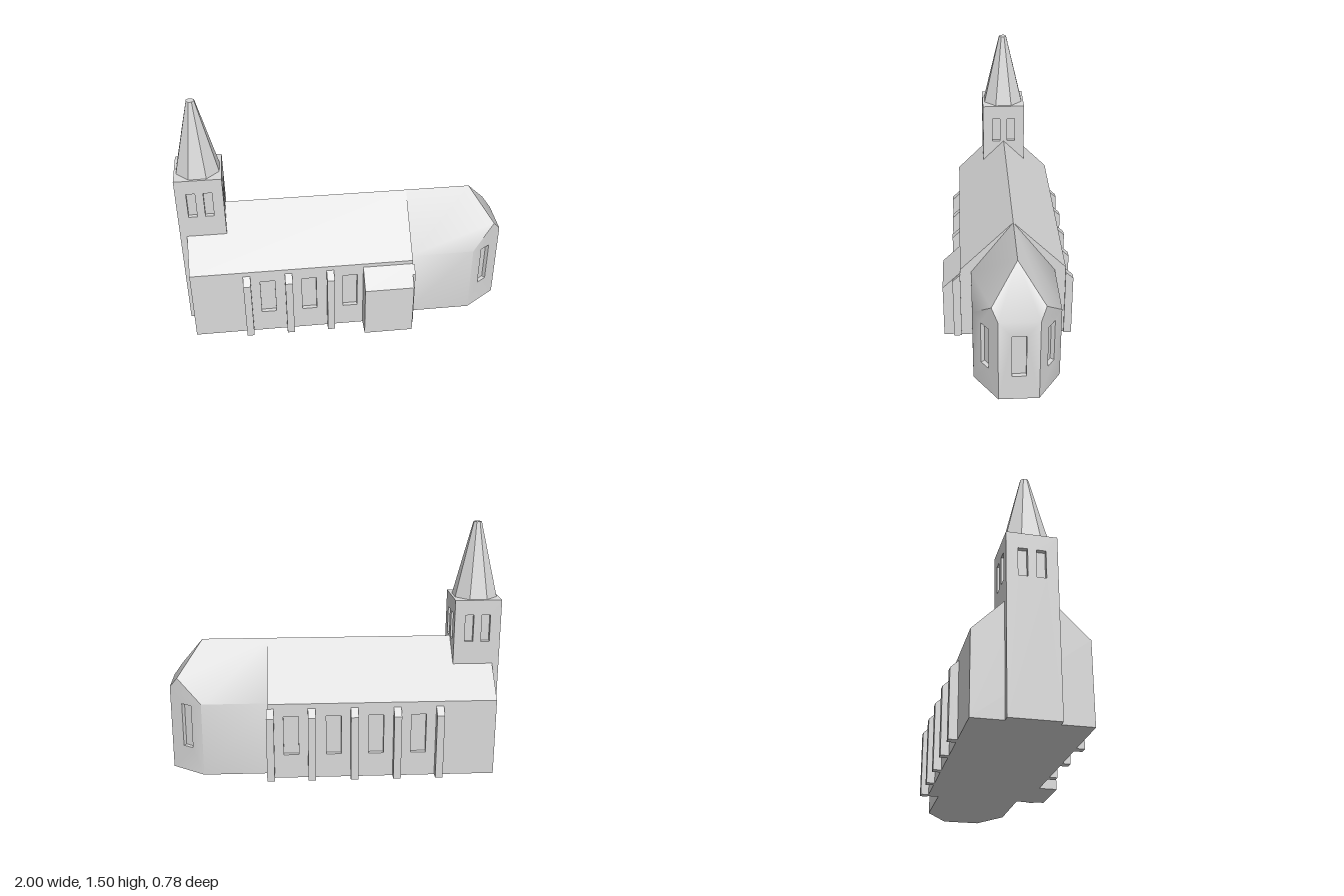
import * as THREE from 'three';
import { mergeGeometries, toCreasedNormals } from 'three/addons/utils/BufferGeometryUtils.js';

const stone = new THREE.MeshStandardMaterial({ color: 0xd9d9d9 });
stone.name = 'pale grey stone';
const RECESS = 0.025;

// Flat convex polygon, corners counter-clockwise from outside
function face(...pts) {
  const out = [];
  for (let i = 1; i < pts.length - 1; i++) out.push(...pts[0], ...pts[i], ...pts[i + 1]);
  const g = new THREE.BufferGeometry();
  g.setAttribute('position', new THREE.Float32BufferAttribute(out, 3));
  return g;
}

// The same polygon and its reflection across z = 0
function facePair(...pts) {
  return [face(...pts), face(...pts.map(([x, y, z]) => [x, y, -z]).reverse())];
}

// Upright wall from a to b ([x, z], outside on the right) with recessed windows [u, width, y0, y1]
function wall(a, b, outline, windows = []) {
  const u = new THREE.Vector3(b[0] - a[0], 0, b[1] - a[1]).normalize();
  const up = new THREE.Vector3(0, 1, 0);
  const m = new THREE.Matrix4().makeBasis(u, up, u.clone().cross(up)).setPosition(a[0], 0, a[1]);
  const shape = new THREE.Shape(outline.map(p => new THREE.Vector2(...p)));
  const parts = [];
  for (const [c, w, y0, y1] of windows) {
    const l = c - w / 2, r = c + w / 2;
    const corners = [[l, y0], [r, y0], [r, y1], [l, y1]];
    shape.holes.push(new THREE.Path(corners.map(p => new THREE.Vector2(...p))));
    // Window niche: back pane and four reveals, open to the outside
    parts.push(face(...corners.map(p => [...p, -RECESS])));
    corners.forEach((p, i) => {
      const q = corners[(i + 1) % 4];
      parts.push(face([...p, 0], [...q, 0], [...q, -RECESS], [...p, -RECESS]));
    });
  }
  parts.push(new THREE.ShapeGeometry(shape).toNonIndexed());
  return parts.map(g => g.applyMatrix4(m));
}

const rect = (w, h) => [[0, 0], [w, 0], [w, h], [0, h]];

// Join faces into one mesh, smooth only across shallow edges
function shell(name, geoms) {
  const clean = geoms.map(g => {
    const c = new THREE.BufferGeometry();
    c.setAttribute('position', new THREE.Float32BufferAttribute(
      Array.from(g.attributes.position.array, v => Math.round(v * 1e4) / 1e4), 3));
    return c;
  });
  const mesh = new THREE.Mesh(toCreasedNormals(mergeGeometries(clean), 0.7), stone);
  mesh.name = name;
  return mesh;
}

// Block with a lean-to top, standing against a side wall
function leanTo(name, x, width, z, depth, high, low, side) {
  const s = new THREE.Shape([[0, 0], [depth, 0], [depth, low], [0, high]].map(p => new THREE.Vector2(...p)));
  const g = new THREE.ExtrudeGeometry(s, { depth: width, bevelEnabled: false });
  g.translate(0, 0, -width / 2).rotateY(-side * Math.PI / 2);
  const mesh = new THREE.Mesh(g, stone);
  mesh.name = name;
  mesh.position.set(x, 0, side * z);
  return mesh;
}

function nave() {
  const x0 = -0.96, x1 = 0.405, w = 0.315, eave = 0.475, top = 0.79;
  const bays = [-0.495, -0.24, 0.015, 0.27];
  const side = rect(x1 - x0, eave);
  return shell('nave', [
    ...wall([x0, w], [x1, w], side, bays.slice(0, 3).map(x => [x - x0, 0.09, 0.15, 0.395])),
    ...wall([x1, -w], [x0, -w], side, bays.map(x => [x1 - x, 0.09, 0.15, 0.395])),
    ...facePair([x0, eave, w], [x1, eave, w], [x1, top, 0], [x0, top, 0]),
    face([x1, 0, w], [x1, 0, -w], [x1, eave, -w], [x1, top, 0], [x1, eave, w]),
    face([x0, 0, -w], [x0, 0, w], [x0, eave, w], [x0, top, 0], [x0, eave, -w]),
    face([x0, 0, w], [x0, 0, -w], [x1, 0, -w], [x1, 0, w]),
  ]);
}

function choir() {
  const x0 = 0.4, x1 = 0.803, w = 0.25, e = 0.115, eave = 0.457, top = 0.79, endTop = 0.525;
  const len = Math.hypot(1 - x1, w - e);
  const hip = [x1 + 0.75 * (1 - x1), 0.59, w - 0.75 * (w - e)];
  const diagonal = [[0, 0], [len, 0], [len, endTop], [0.75 * len, hip[1]], [0, eave]];
  const win = u => [[u, 0.072, 0.16, 0.433]];
  return shell('choir', [
    ...facePair([x0, 0, w], [x1, 0, w], [x1, eave, w], [x0, eave, w]),
    ...facePair([x0, eave, w], [x1, eave, w], hip, [x1, top, 0], [x0, top, 0]),
    face([x1, top, 0], hip, [1, endTop, e], [1, endTop, -e], [hip[0], hip[1], -hip[2]]),
    face([x0, 0, -w], [x0, 0, w], [x0, eave, w], [x0, top, 0], [x0, eave, -w]),
    ...wall([x1, w], [1, e], diagonal, win(0.48 * len)),
    ...wall([1, e], [1, -e], rect(2 * e, endTop), [[e, 0.08, 0.16, 0.433]]),
    ...wall([1, -e], [x1, -w], diagonal.map(([u, y]) => [len - u, y]), win(0.52 * len)),
    face([x0, 0, w], [x0, 0, -w], [x1, 0, -w], [1, 0, -e], [1, 0, e], [x1, 0, w]),
  ]);
}

function tower() {
  const g = new THREE.Group();
  g.name = 'tower';
  const r = 0.14, h = 1.047;
  const corners = [[-r, r], [r, r], [r, -r], [-r, -r]];
  const parts = [
    face(...corners.map(([x, z]) => [x, h, z])),
    face(...corners.map(([x, z]) => [x, 0, z]).reverse()),
  ];
  corners.forEach((c, i) => parts.push(...wall(c, corners[(i + 1) % 4], rect(2 * r, h),
    [-0.05, 0.05].map(o => [r + o, 0.052, 0.79, 0.955]))));
  g.add(shell('belfry', parts));

  // Eight-sided spire with a blunt tip
  const geo = new THREE.CylinderGeometry(0.025, 0.137, 0.45, 8).rotateY(Math.PI / 8);
  const spire = new THREE.Mesh(toCreasedNormals(geo, 0.3), stone);
  spire.name = 'spire';
  spire.position.y = h + 0.225;
  g.add(spire);
  g.position.x = -0.86;
  return g;
}

export function createModel() {
  const church = new THREE.Group();
  church.name = 'church';
  church.add(nave(), choir(), tower());

  // Buttresses along both sides of the nave
  for (const side of [1, -1]) {
    for (const x of [-0.62, -0.365, -0.108, 0.147, 0.394]) {
      church.add(leanTo('buttress', x, 0.045, 0.315, 0.047, 0.445, 0.4, side));
    }
  }
  church.add(leanTo('porch', 0.248, 0.303, 0.315, 0.107, 0.45, 0.345, 1));

  church.position.z = -0.03;
  const model = new THREE.Group();
  model.add(church);
  return model;
}
